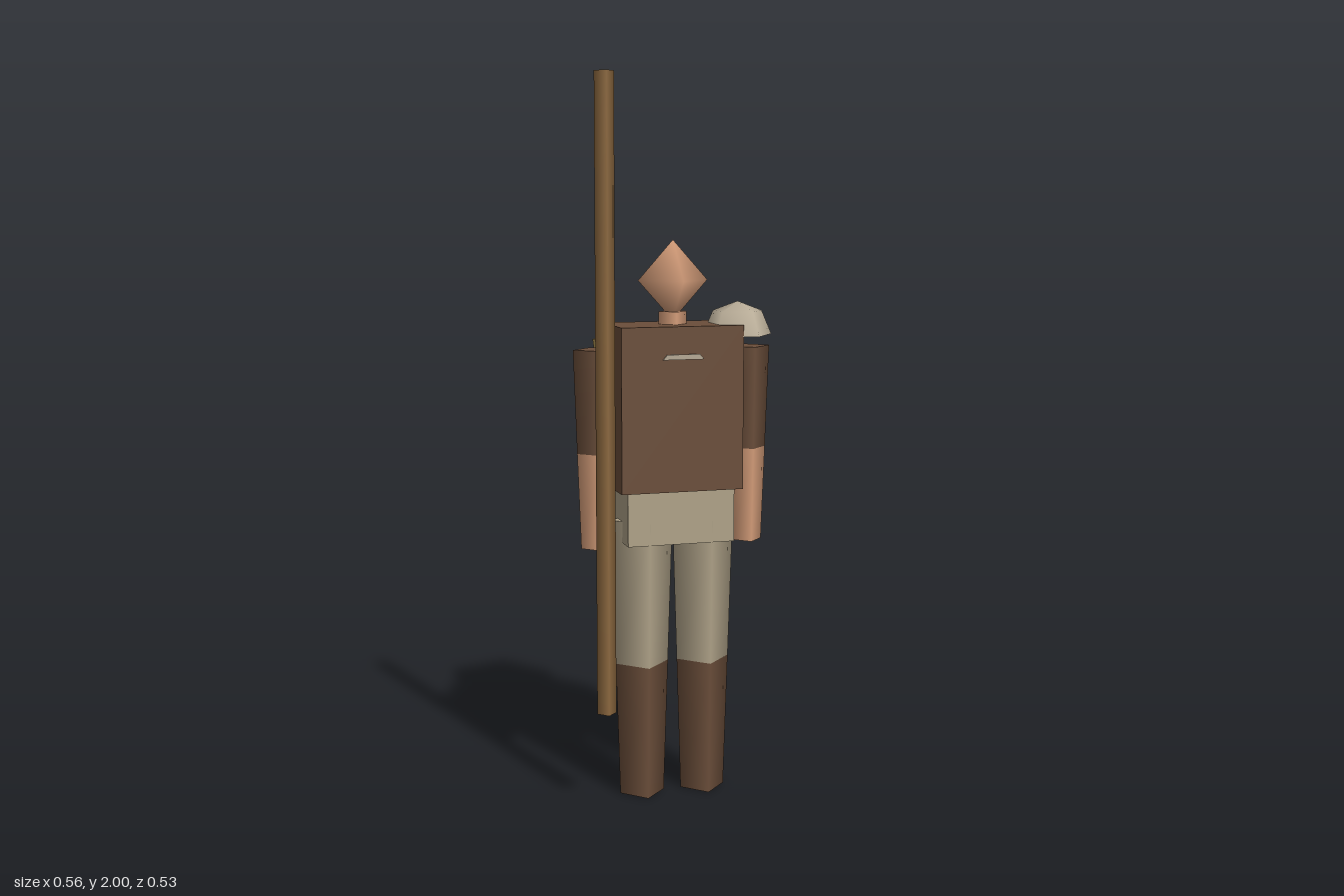
import * as THREE from 'three';

function material(name, color, side = THREE.FrontSide) {
  const m = new THREE.MeshStandardMaterial({ color, side });
  m.name = name;
  return m;
}

export function createModel() {
  const group = new THREE.Group();
  const leather = material('brown leather', 0x6b4e3a);
  const cloth = material('pale cloth', 0xb0a389);
  const skin = material('skin', 0xd69e7a);
  const wicker = material('wicker', 0xb89d59);
  const wood = material('wood', 0x8c683e);
  const shell = material('bone shell', 0xb6aa95, THREE.DoubleSide);
  const Z = 0.126; // depth of the body centre line

  function add(name, geometry, mat, x, y, z) {
    const mesh = new THREE.Mesh(geometry, mat);
    mesh.name = name;
    mesh.position.set(x, y, z);
    group.add(mesh);
    return mesh;
  }
  // Tapered prism standing between two heights
  function limb(name, mat, x, z, y0, y1, r0, r1, sides = 4) {
    return add(name, new THREE.CylinderGeometry(r1, r0, y1 - y0, sides), mat, x, (y0 + y1) / 2, z);
  }

  // Body blocks
  add('torso', new THREE.BoxGeometry(0.345, 0.452, 0.2), leather, 0, 1.104, Z);
  add('hips', new THREE.BoxGeometry(0.304, 0.15, 0.175), cloth, 0, 0.805, Z);

  // Head and neck
  limb('neck', skin, 0, Z, 1.32, 1.365, 0.04, 0.04);
  const head = add('head', new THREE.SphereGeometry(1, 4, 2), skin, 0, 1.45, Z + 0.001);
  head.scale.set(0.099, 0.11, 0.102);

  // Arms and legs, mirrored
  for (const [side, s] of [['left', 1], ['right', -1]]) {
    limb(side + 'Boot', leather, s * 0.089, Z, 0, 0.38, 0.064, 0.076);
    limb(side + 'TrouserLeg', cloth, s * 0.089, Z, 0.38, 0.79, 0.076, 0.089);
    limb(side + 'Forearm', skin, s * 0.219, Z, 0.715, 0.98, 0.043, 0.053);
    limb(side + 'Sleeve', leather, s * 0.219, Z, 0.98, 1.265, 0.053, 0.063);
  }

  // Domed shoulder guard on the left
  const dome = [[0.1, 0], [0.071, 0.066], [0, 0.093]].map(([r, y]) => new THREE.Vector2(r, y));
  const guard = add('shoulderGuard', new THREE.LatheGeometry(dome, 5), shell, 0.181, 1.298, 0.145);
  guard.rotation.y = Math.PI / 2;

  // Small tapered chest ornament
  const plate = new THREE.Shape();
  [[-0.058, -0.007], [0.058, -0.007], [0.046, 0.007], [-0.046, 0.007]].forEach(([x, y], i) =>
    i ? plate.lineTo(x, y) : plate.moveTo(x, y));
  add('chestOrnament', new THREE.ExtrudeGeometry(plate, { depth: 0.006, bevelEnabled: false }),
    shell, 0, 1.248, 0.226);

  // Five-sided back basket
  const basket = limb('basket', wicker, 0, -0.092, 0.885, 1.265, 0.125, 0.181, 5);
  basket.rotation.y = Math.PI / 2;

  // Walking staff
  limb('staff', wood, -0.22, 0.236, 0.275, 2, 0.027, 0.027);

  return group;
}
